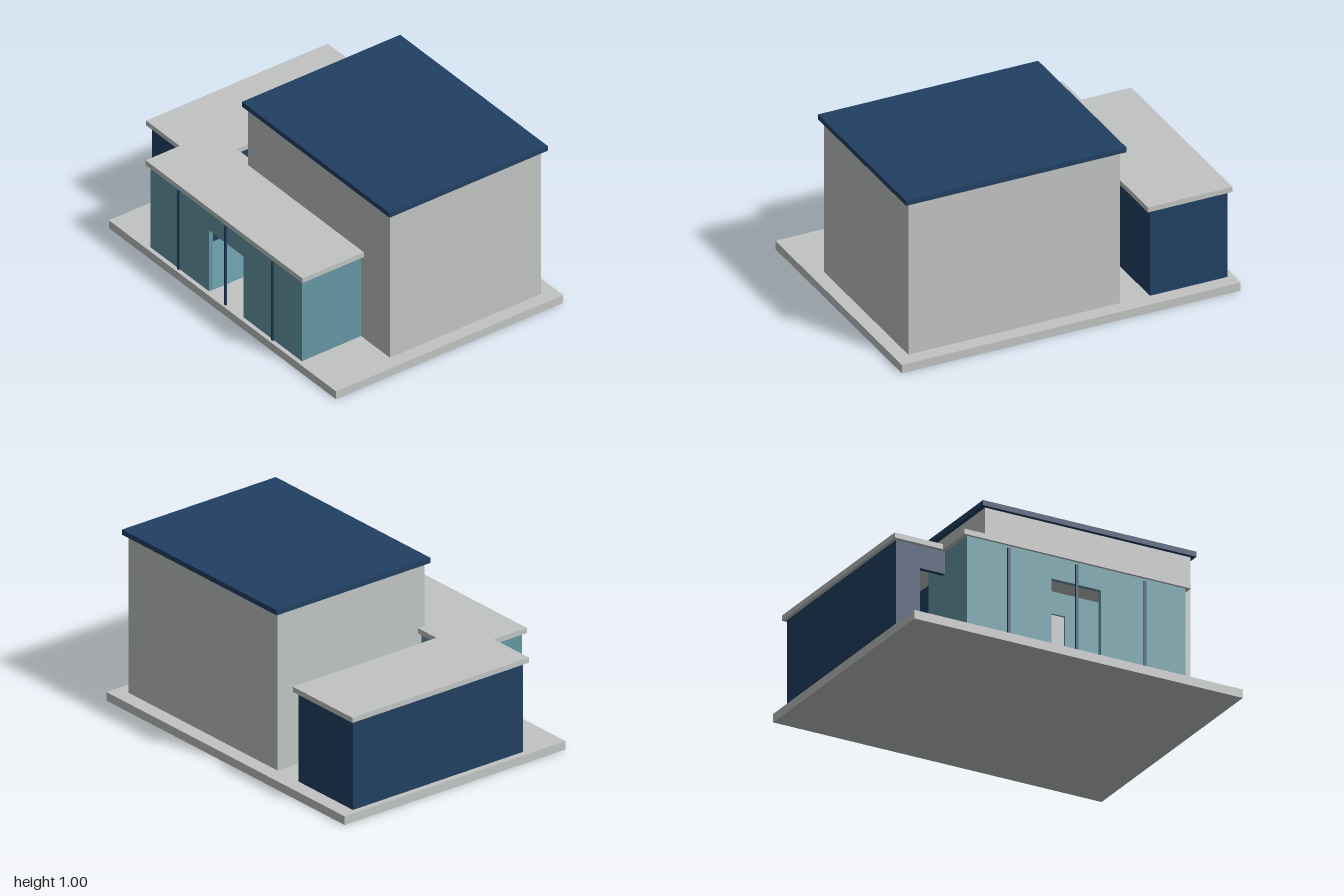
import * as THREE from 'three';

export function createModel() {
  const model = new THREE.Group();
  model.name = 'building';

  const mat = (name, color) => {
    const m = new THREE.MeshStandardMaterial({ color });
    m.name = name;
    return m;
  };
  const concrete = mat('pale grey', 0xc0c4c2);
  const glass = mat('teal glass', 0x6497a3);
  const navy = mat('navy', 0x214062);

  const BASE = 0.05, EAVES = 0.57, DOOR = 0.44;

  const add = (parent, name, geometry, material) => {
    const mesh = new THREE.Mesh(geometry, material);
    mesh.name = name;
    parent.add(mesh);
    return mesh;
  };

  // Box given by its extents on each axis
  const block = (parent, name, [x0, x1], [y0, y1], [z0, z1], material) => {
    const mesh = add(parent, name, new THREE.BoxGeometry(x1 - x0, y1 - y0, z1 - z0), material);
    mesh.position.set((x0 + x1) / 2, (y0 + y1) / 2, (z0 + z1) / 2);
  };

  // Wall facing z with a doorway that reaches the floor
  const doorWall = (parent, name, [x0, x1], [d0, d1], [z0, z1], material) => {
    const shape = new THREE.Shape([
      [x0, BASE], [d0, BASE], [d0, DOOR], [d1, DOOR],
      [d1, BASE], [x1, BASE], [x1, EAVES], [x0, EAVES],
    ].map(([x, y]) => new THREE.Vector2(x, y)));
    const geometry = new THREE.ExtrudeGeometry(shape, { depth: z1 - z0, bevelEnabled: false });
    add(parent, name, geometry, material).position.z = z0;
  };

  // Ground slab
  block(model, 'groundSlab', [-1, 1], [0, BASE], [-0.75, 0.75], concrete);

  // Tall hall with its overhanging roof
  const hall = new THREE.Group();
  hall.name = 'hall';
  model.add(hall);
  block(hall, 'hallWalls', [-0.33, 0.92], [BASE, 0.97], [-0.665, 0.333], concrete);
  block(hall, 'hallRoof', [-0.355, 0.945], [0.97, 1], [-0.69, 0.355], navy);

  // Glazed lobby: hollow, with doorways front and back
  const lobby = new THREE.Group();
  lobby.name = 'lobby';
  model.add(lobby);
  const door = [-0.15, 0.15];
  doorWall(lobby, 'lobbyFront', [-0.665, 0.665], door, [0.7, 0.725], glass);
  doorWall(lobby, 'lobbyBack', [-0.665, 0.665], door, [0.315, 0.345], glass);
  for (const [x0, x1] of [[-0.665, -0.64], [0.64, 0.665]])
    block(lobby, 'lobbySide', [x0, x1], [BASE, EAVES], [0.345, 0.7], glass);
  for (const [x0, x1] of [[-0.64, -0.15], [0.15, 0.64]])
    block(lobby, 'lobbyFloor', [x0, x1], [BASE, BASE + 0.004], [0.345, 0.7], glass);
  for (const x of [-0.415, 0, 0.415])
    block(lobby, 'mullion', [x - 0.007, x + 0.007], [BASE, 0.553], [0.725, 0.735], navy);

  // Side wing: hollow, with a doorway at the front
  const wing = new THREE.Group();
  wing.name = 'sideWing';
  model.add(wing);
  doorWall(wing, 'wingFront', [-0.965, -0.507], [-0.818, -0.654], [0.467, 0.492], navy);
  block(wing, 'wingBack', [-0.965, -0.507], [BASE, EAVES], [-0.665, -0.64], navy);
  for (const [x0, x1] of [[-0.965, -0.94], [-0.532, -0.507]])
    block(wing, 'wingSide', [x0, x1], [BASE, EAVES], [-0.64, 0.467], navy);
  block(wing, 'wingFloor', [-0.94, -0.532], [BASE, BASE + 0.003], [-0.64, 0.467], navy);

  // Low roof shared by lobby and wing, drawn in plan (x, -z)
  const plan = new THREE.Shape([
    [-0.985, -0.685], [-0.985, 0.515], [-0.69, 0.515], [-0.69, 0.74],
    [0.69, 0.74], [0.69, 0.29], [-0.485, 0.29], [-0.485, -0.685],
  ].map(([x, z]) => new THREE.Vector2(x, -z)));
  const roof = new THREE.ExtrudeGeometry(plan, { depth: 0.03, bevelEnabled: false });
  roof.rotateX(-Math.PI / 2);
  add(model, 'lowRoof', roof, concrete).position.y = EAVES;

  return model;
}
